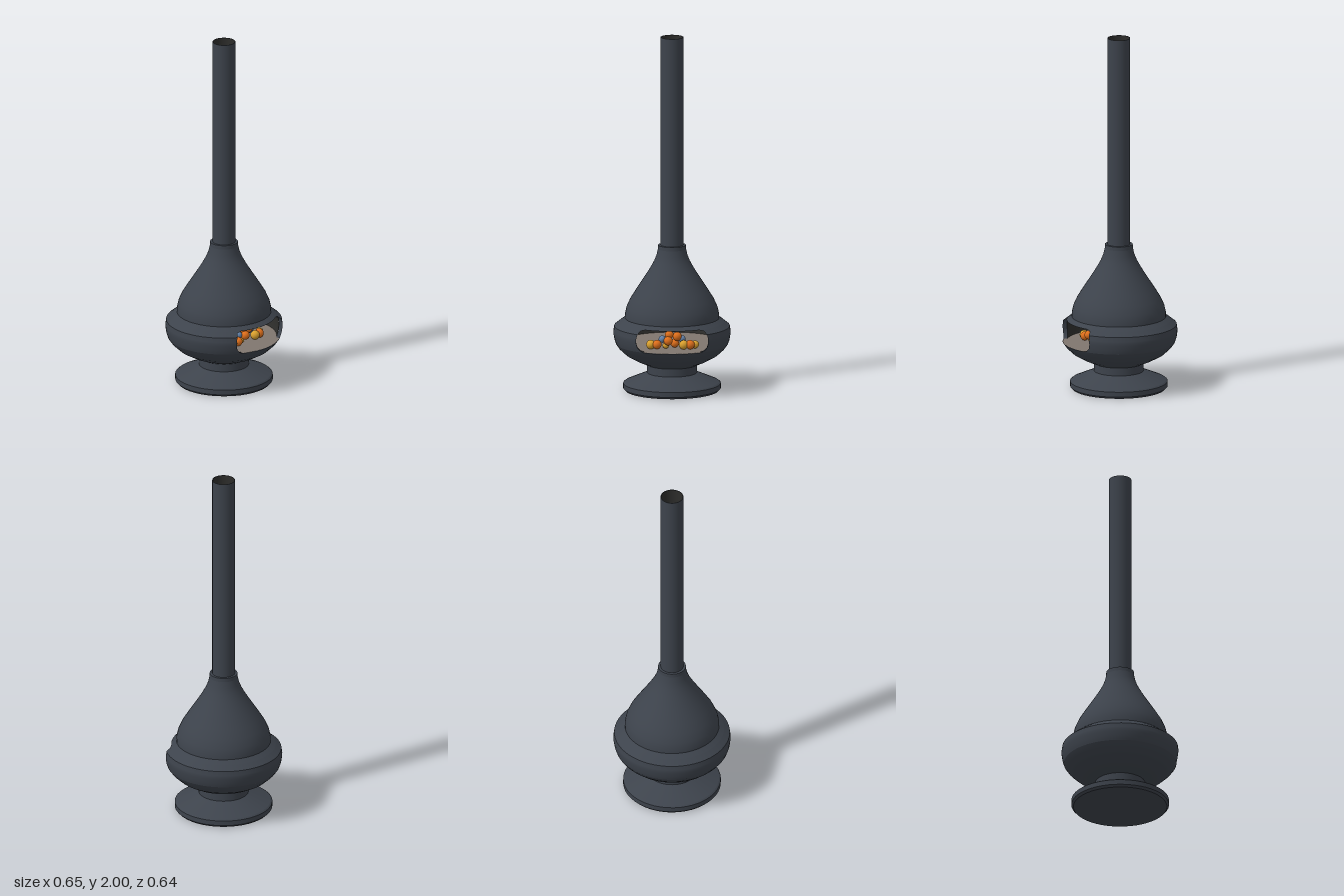
import * as THREE from 'three';

const mat = (name, color, side = THREE.FrontSide) => {
  const m = new THREE.MeshStandardMaterial({ color, side });
  m.name = name;
  return m;
};

// Opening: a rounded rectangle projected onto the bowl
const LOW = 0.265, HIGH = 0.39, HALF = 0.2, CORNER = 0.05, WALL = 0.02, SIDES = 48;
const halfWidth = (y) => {
  const d = Math.min(y - LOW, HIGH - y, CORNER);
  return HALF - CORNER + Math.sqrt(Math.max(0, CORNER ** 2 - (CORNER - d) ** 2));
};

// Bowl and shoulder outline [radius, height]; a repeated point makes a crease
const bowl = [
  [0.138, 0.145], [0.2, 0.172], [0.255, 0.203], [0.293, 0.238], [0.312, 0.265],
  [0.322, 0.295], [0.326, 0.33], [0.321, 0.365], [0.29, 0.39], [0.262, 0.41],
];
function radiusAt(y) {
  let i = 1;
  while (i < bowl.length - 1 && bowl[i][1] < y) i++;
  const [r0, y0] = bowl[i - 1], [r1, y1] = bowl[i];
  return r0 + (r1 - r0) * (y - y0) / (y1 - y0);
}
const lathe = (pts) =>
  new THREE.LatheGeometry(pts.map(([r, y]) => new THREE.Vector2(r, y)), SIDES);

// Lathe whose rows [radius, height, half width] are squeezed around the back to leave a gap
function gappedLathe(rows) {
  const geo = lathe(rows);
  const pos = geo.attributes.position, nor = geo.attributes.normal;
  const p = new THREE.Vector3(), up = new THREE.Vector3(0, 1, 0);
  for (let i = 0; i < pos.count; i++) {
    const [r, , w] = rows[i % rows.length];
    const t = Math.floor(i / rows.length) / SIDES;
    const turn = Math.asin(w / r) * (1 - 2 * t);
    for (const a of [pos, nor]) {
      p.fromBufferAttribute(a, i).applyAxisAngle(up, turn);
      a.setXYZ(i, p.x, p.y, p.z);
    }
  }
  return geo;
}

// Strip around the opening joining the outer and inner walls
function openingRim() {
  const path = new THREE.Shape();
  const c = HALF - CORNER;
  path.moveTo(-c, LOW).lineTo(c, LOW);
  path.absarc(c, LOW + CORNER, CORNER, -Math.PI / 2, 0);
  path.absarc(c, HIGH - CORNER, CORNER, 0, Math.PI / 2);
  path.lineTo(-c, HIGH);
  path.absarc(-c, HIGH - CORNER, CORNER, Math.PI / 2, Math.PI);
  path.absarc(-c, LOW + CORNER, CORNER, Math.PI, Math.PI * 1.5);
  const verts = [], index = [], pts = path.getSpacedPoints(90);
  pts.forEach(({ x, y }, i) => {
    const r = radiusAt(y);
    for (const q of [r, r - WALL]) verts.push(x, y, Math.sqrt(q * q - x * x));
    const a = i * 2;
    if (i < pts.length - 1) index.push(a, a + 2, a + 1, a + 1, a + 2, a + 3);
  });
  const geo = new THREE.BufferGeometry();
  geo.setAttribute('position', new THREE.Float32BufferAttribute(verts, 3));
  geo.setIndex(index);
  geo.computeVertexNormals();
  return geo;
}

export function createModel() {
  const model = new THREE.Group();
  model.name = 'fireplace';
  const steel = mat('charcoal steel', 0x3d434c);
  const steelThin = mat('charcoal steel edge', 0x3d434c, THREE.DoubleSide);
  const soot = mat('soot black', 0x2d2d2b, THREE.DoubleSide);
  const stone = mat('hearth stone', 0x80766f);
  const orange = mat('ember orange', 0xe0701c);
  const yellow = mat('flame yellow', 0xdca22e);
  const blue = mat('flame blue', 0x6482a8);
  const add = (name, geo, material, x = 0, y = 0, z = 0, parent = model) => {
    const m = new THREE.Mesh(geo, material);
    m.name = name;
    m.position.set(x, y, z);
    parent.add(m);
    return m;
  };

  // Foot and neck
  add('pedestal', lathe([
    [0, 0], [0.26, 0], [0.26, 0], [0.271, 0.012], [0.271, 0.012], [0.271, 0.04], [0.271, 0.04],
    [0.262, 0.047], [0.262, 0.047], [0.138, 0.1], [0.138, 0.1], [0.138, 0.15],
  ]), steel);

  // Bowl with the front opening
  const band = [LOW, 0.272, 0.29, 0.315, 0.33, 0.34, 0.365, 0.365, 0.383, HIGH]
    .map((y) => [radiusAt(y), y, halfWidth(y)]);
  const closed = ([r, y]) => [r, y, 0];
  add('bowl', gappedLathe([
    ...bowl.slice(0, 5).map(closed), ...band, ...bowl.slice(8).map(closed),
  ]), steel);
  add('innerWall', gappedLathe([
    ...band.map(([r, y, w]) => [r - WALL, y, w]),
    [0.27, HIGH, 0], [0.242, 0.41, 0], [0.242, 0.41, 0], [0, 0.411, 0.0],
  ].map(([r, y, w]) => [Math.max(r, 0.001), y, w])), soot);
  add('openingRim', openingRim(), steelThin);

  // Hearth floor
  const floor = new THREE.CircleGeometry(0.311, SIDES).rotateX(-Math.PI / 2);
  add('hearthFloor', floor, stone, 0, LOW + 0.001, 0);

  // Hood and collar
  add('hood', lathe([
    [0.262, 0.41], [0.261, 0.435], [0.253, 0.47], [0.233, 0.515], [0.205, 0.56], [0.178, 0.602],
    [0.15, 0.645], [0.122, 0.69], [0.1, 0.73], [0.086, 0.765], [0.078, 0.8], [0.078, 0.8],
    [0.077, 0.822], [0.077, 0.822], [0.06, 0.822],
  ]), steel);

  // Flue pipe, open at the top
  add('fluePipe', lathe([
    [0.063, 0.81], [0.063, 2], [0.063, 2], [0.06, 2],
  ]), steel);
  add('flueLining', lathe([[0.001, 0.83], [0.06, 0.83], [0.06, 0.83], [0.06, 2]]), soot);

  // Fire: small balls heaped on the hearth [material, x, y, z, radius]
  const fire = new THREE.Group();
  fire.name = 'fire';
  model.add(fire);
  const ball = new THREE.SphereGeometry(1, 14, 10);
  [
    [yellow, -0.118, 0.29, 0.16, 0.026], [orange, -0.084, 0.292, 0.17, 0.025],
    [blue, -0.055, 0.318, 0.15, 0.02], [orange, -0.022, 0.312, 0.17, 0.025],
    [orange, -0.016, 0.343, 0.15, 0.024], [orange, 0.028, 0.334, 0.15, 0.025],
    [yellow, -0.035, 0.283, 0.15, 0.018], [blue, 0.055, 0.318, 0.14, 0.02],
    [yellow, 0.064, 0.29, 0.17, 0.026], [orange, 0.1, 0.291, 0.17, 0.026],
    [yellow, 0.127, 0.288, 0.15, 0.022], [orange, 0.015, 0.289, 0.12, 0.024],
  ].forEach(([m, x, y, z, r], i) =>
    add(`ember${i + 1}`, ball, m, x, y, z, fire).scale.setScalar(r));

  // Centre the body
  model.children.forEach((part) => { part.position.z += 0.004; });
  return model;
}
